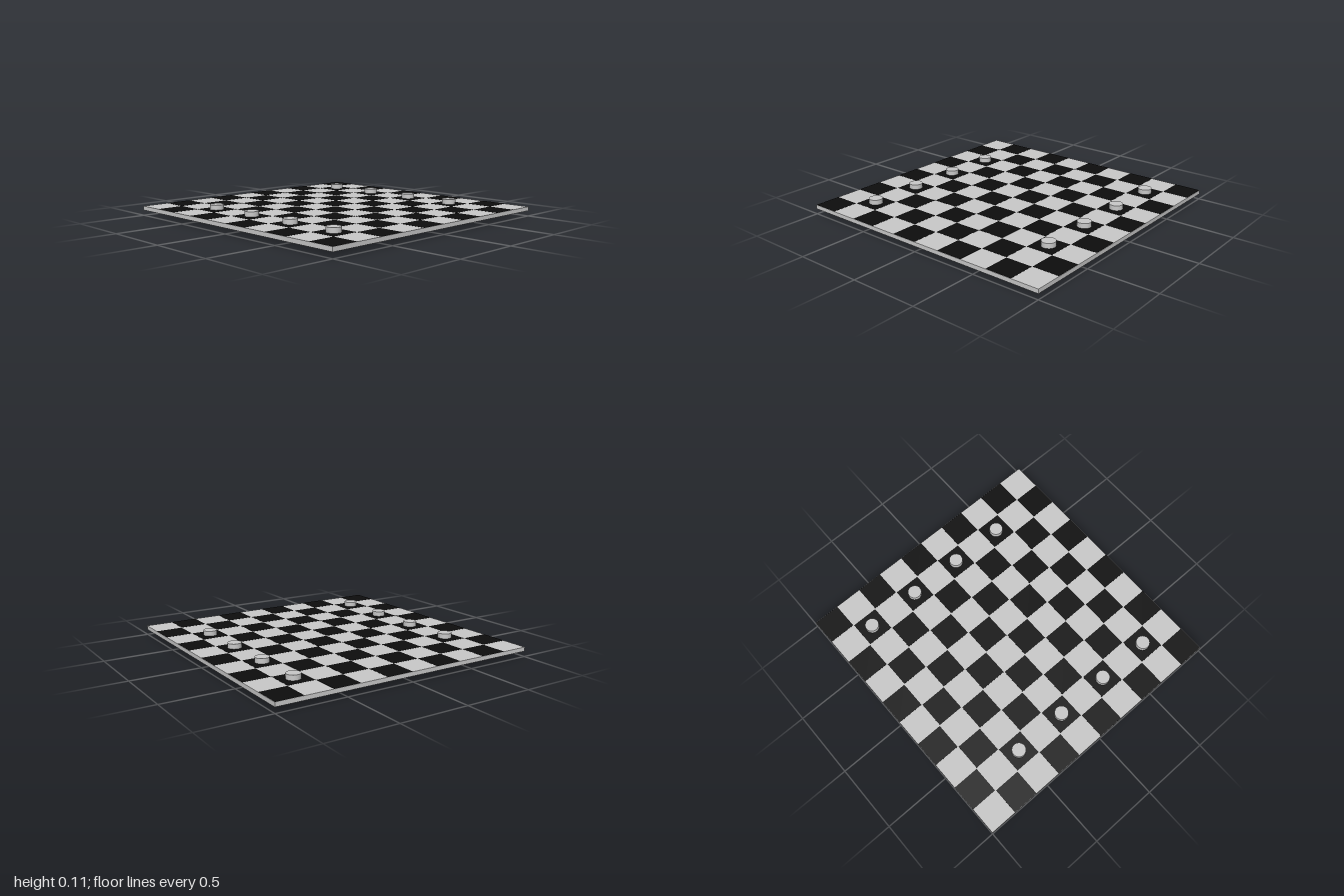
import * as THREE from 'three';

const CELLS = 10, CELL = 0.2;
const BOARD_BOTTOM = 0.039, BOARD_TOP = 0.069, PEG_HEIGHT = 0.106;

export function createModel() {
  const model = new THREE.Group();
  const lightGrey = new THREE.MeshStandardMaterial({ name: 'lightGrey', color: 0xcacaca });
  const black = new THREE.MeshStandardMaterial({ name: 'black', color: 0x0d0d0d });

  const add = (parent, name, geometry, material, x, y, z) => {
    const mesh = new THREE.Mesh(geometry, material);
    mesh.name = name;
    mesh.position.set(x, y, z);
    parent.add(mesh);
    return mesh;
  };
  const cellCentre = (i) => (i + 0.5) * CELL - 1;

  // Thin square board
  const thickness = BOARD_TOP - BOARD_BOTTOM;
  add(model, 'board', new THREE.BoxGeometry(2, thickness, 2), lightGrey,
    0, BOARD_BOTTOM + thickness / 2, 0);

  // Dark squares, thin plates on both faces of the board
  const plate = new THREE.BoxGeometry(CELL - 0.005, 0.002, CELL - 0.005);
  for (const [name, y] of [['topSquares', BOARD_TOP], ['bottomSquares', BOARD_BOTTOM]]) {
    const squares = new THREE.Group();
    squares.name = name;
    model.add(squares);
    for (let row = 0; row < CELLS; row++) {
      for (let col = row % 2; col < CELLS; col += 2) {
        add(squares, 'darkSquare', plate, black, cellCentre(col), y, cellCentre(row));
      }
    }
  }

  // Two rows of round pegs passing through the board
  const peg = new THREE.CylinderGeometry(0.05, 0.05, PEG_HEIGHT, 24);
  for (const [name, row, firstCol] of [['backPegs', 1, 1], ['frontPegs', 8, 2]]) {
    const pegs = new THREE.Group();
    pegs.name = name;
    model.add(pegs);
    for (let i = 0; i < 4; i++) {
      add(pegs, 'peg', peg, lightGrey, cellCentre(firstCol + 2 * i), PEG_HEIGHT / 2, cellCentre(row));
    }
  }

  return model;
}
